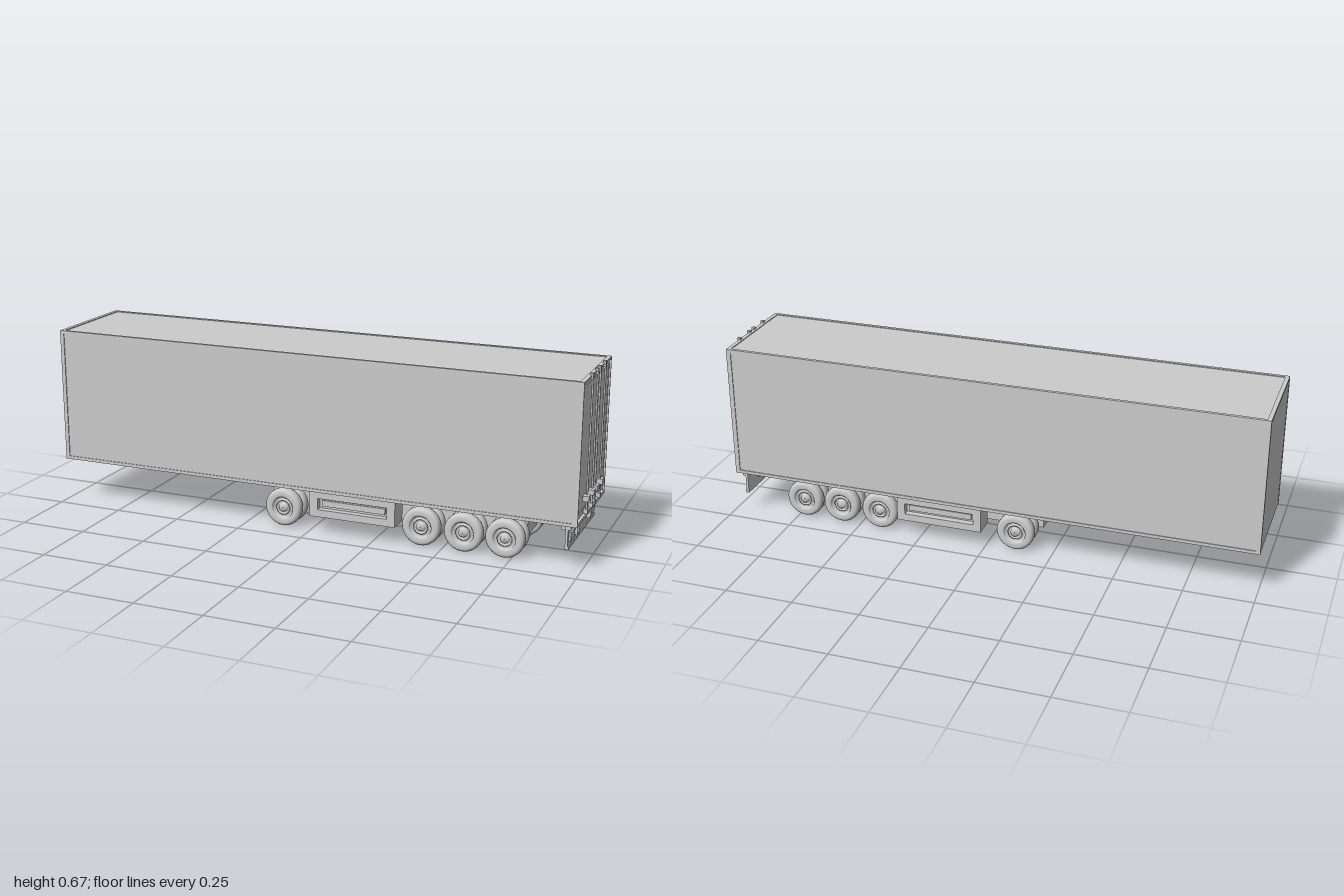
import * as THREE from 'three';

const grey = new THREE.MeshStandardMaterial({ color: 0xcccccc });
grey.name = 'plain grey';

export function createModel() {
  const model = new THREE.Group();
  model.name = 'boxTrailer';

  const add = (name, geometry, x = 0, y = 0, z = 0, parent = model) => {
    const mesh = new THREE.Mesh(geometry, grey);
    mesh.name = name;
    mesh.position.set(x, y, z);
    parent.add(mesh);
    return mesh;
  };
  // Box given by its limits on each axis
  const box = (name, x0, x1, y0, y1, z0, z1) =>
    add(name, new THREE.BoxGeometry(x1 - x0, y1 - y0, z1 - z0),
      (x0 + x1) / 2, (y0 + y1) / 2, (z0 + z1) / 2);
  // The same box on both sides of the trailer
  const pair = (name, x0, x1, y0, y1, z0, z1) => {
    box(name + 'Left', x0, x1, y0, y1, z0, z1);
    box(name + 'Right', x0, x1, y0, y1, -z1, -z0);
  };
  // Rectangular ring, hollow right through, extruded along z
  const ring = (w, h, tx, ty, depth) => {
    const rect = (target, a, b) => target.moveTo(-a, -b).lineTo(a, -b).lineTo(a, b).lineTo(-a, b).closePath();
    const shape = rect(new THREE.Shape(), w / 2, h / 2);
    shape.holes.push(rect(new THREE.Path(), w / 2 - tx, h / 2 - ty));
    return new THREE.ExtrudeGeometry(shape, { depth, bevelEnabled: false }).translate(0, 0, -depth / 2);
  };

  // Cargo body with slightly raised edge rails
  box('cargoBody', -0.999, 0.975, 0.161, 0.657, -0.197, 0.197);
  pair('roofRail', -1, 0.985, 0.648, 0.66, 0.188, 0.2);
  pair('floorRail', -1, 0.985, 0.16, 0.172, 0.188, 0.2);
  pair('frontPost', -1, -0.985, 0.172, 0.648, 0.188, 0.2);
  pair('rearPost', 0.97, 0.985, 0.172, 0.648, 0.195, 0.2);
  pair('rearCornerPost', 0.968, 0.979, 0.172, 0.648, 0.188, 0.2);
  box('frontHeader', -1, -0.985, 0.65, 0.66, -0.188, 0.188);
  box('rearHeader', 0.97, 0.985, 0.655, 0.66, -0.188, 0.188);
  box('rearSill', 0.97, 0.985, 0.16, 0.172, -0.188, 0.188);

  // Rear doors: one raised panel per leaf
  pair('doorLeaf', 0.97, 0.979, 0.197, 0.635, 0, 0.185);

  // Door lock rods with guides, handles and feet
  for (const [z, handleZ] of [[0.092, 0.1], [0.018, 0.026], [-0.018, -0.026], [-0.095, -0.103]]) {
    add('lockRod', new THREE.CylinderGeometry(0.0035, 0.0035, 0.465, 12), 0.988, 0.4175, z);
    box('rodTopGuide', 0.978, 0.99, 0.647, 0.667, z - 0.0065, z + 0.0065);
    box('rodHandle', 0.979, 1, 0.226, 0.245, handleZ - 0.015, handleZ + 0.015);
  }
  for (const [z, half] of [[0.091, 0.0075], [0, 0.027], [-0.094, 0.0075]])
    box('rodFoot', 0.978, 0.994, 0.178, 0.194, z - half, z + half);

  // Chassis, cross-member and coupling pin block
  box('chassis', -0.19, 0.78, 0.055, 0.161, -0.0625, 0.0625);
  box('kingpinBlock', -0.795, -0.745, 0.12, 0.161, -0.03, 0.03);
  box('bumperCrossMember', 0.912, 0.928, 0.147, 0.161, -0.165, 0.165);
  pair('bumperPost', 0.91, 0.93, 0.115, 0.161, 0.062, 0.113);
  pair('bumperArm', 0.928, 0.946, 0.108, 0.122, 0.062, 0.113);

  // Rear bumper with lamps and towing loops
  box('bumperPlate', 0.943, 0.952, 0.075, 0.145, -0.19, 0.19);
  box('bumperTopLip', 0.943, 0.962, 0.145, 0.157, -0.19, 0.19);
  box('bumperBottomLip', 0.943, 0.956, 0.075, 0.085, -0.19, 0.19);
  pair('rearLamp', 0.951, 0.959, 0.1, 0.132, 0.115, 0.175);
  for (const z of [0.0915, -0.0915])
    add('towLoop', ring(0.023, 0.04, 0.003, 0.003, 0.014), 0.958, 0.12, z).rotation.y = Math.PI / 2;

  // Side storage boxes with a recessed face
  for (const s of [1, -1]) {
    const side = s > 0 ? 'Left' : 'Right';
    add('storageFrame' + side, ring(0.325, 0.096, 0.03, 0.027, 0.025), 0.1725, 0.113, s * 0.1775);
    add('storageBox' + side, new THREE.BoxGeometry(0.324, 0.095, 0.055), 0.1725, 0.113, s * 0.1385);
    add('storageInset' + side, new THREE.BoxGeometry(0.24, 0.022, 0.012), 0.1725, 0.113, s * 0.17);
    for (const x of [0.06, 0.285])
      add('storageBracket', new THREE.BoxGeometry(0.02, 0.06, 0.06), x, 0.13, s * 0.09);
  }

  // Wheel half-section: radius, then distance from the inner side
  const section = [
    [0.001, 0.002], [0.04, 0.002], [0.042, 0], [0.058, 0], [0.065, 0.003], [0.069, 0.009], [0.07, 0.016],
    [0.07, 0.026], [0.069, 0.033], [0.065, 0.039], [0.058, 0.042], [0.043, 0.042], [0.04, 0.039],
    [0.039, 0.03], [0.03, 0.027], [0.028, 0.034], [0.025, 0.034], [0.024, 0.028],
    [0.016, 0.028], [0.015, 0.038], [0.001, 0.038],
  ].map(([r, d]) => new THREE.Vector2(r, d));
  const wheelGeometry = new THREE.LatheGeometry(section, 36).rotateX(Math.PI / 2);

  // Four axles, each with twin wheels on both ends
  for (const x of [-0.11, 0.42, 0.575, 0.725]) {
    const axle = new THREE.Group();
    axle.name = 'axleSet';
    axle.position.set(x, 0.07, 0);
    model.add(axle);
    add('axle', new THREE.CylinderGeometry(0.014, 0.014, 0.28, 20).rotateX(Math.PI / 2), 0, 0, 0, axle);
    for (const s of [1, -1]) {
      for (const [name, z] of [['innerWheel', 0.076], ['outerWheel', 0.123]]) {
        const wheel = add(name, wheelGeometry, 0, 0, s * z, axle);
        if (s < 0) wheel.rotation.y = Math.PI;
      }
    }
  }
  return model;
}
